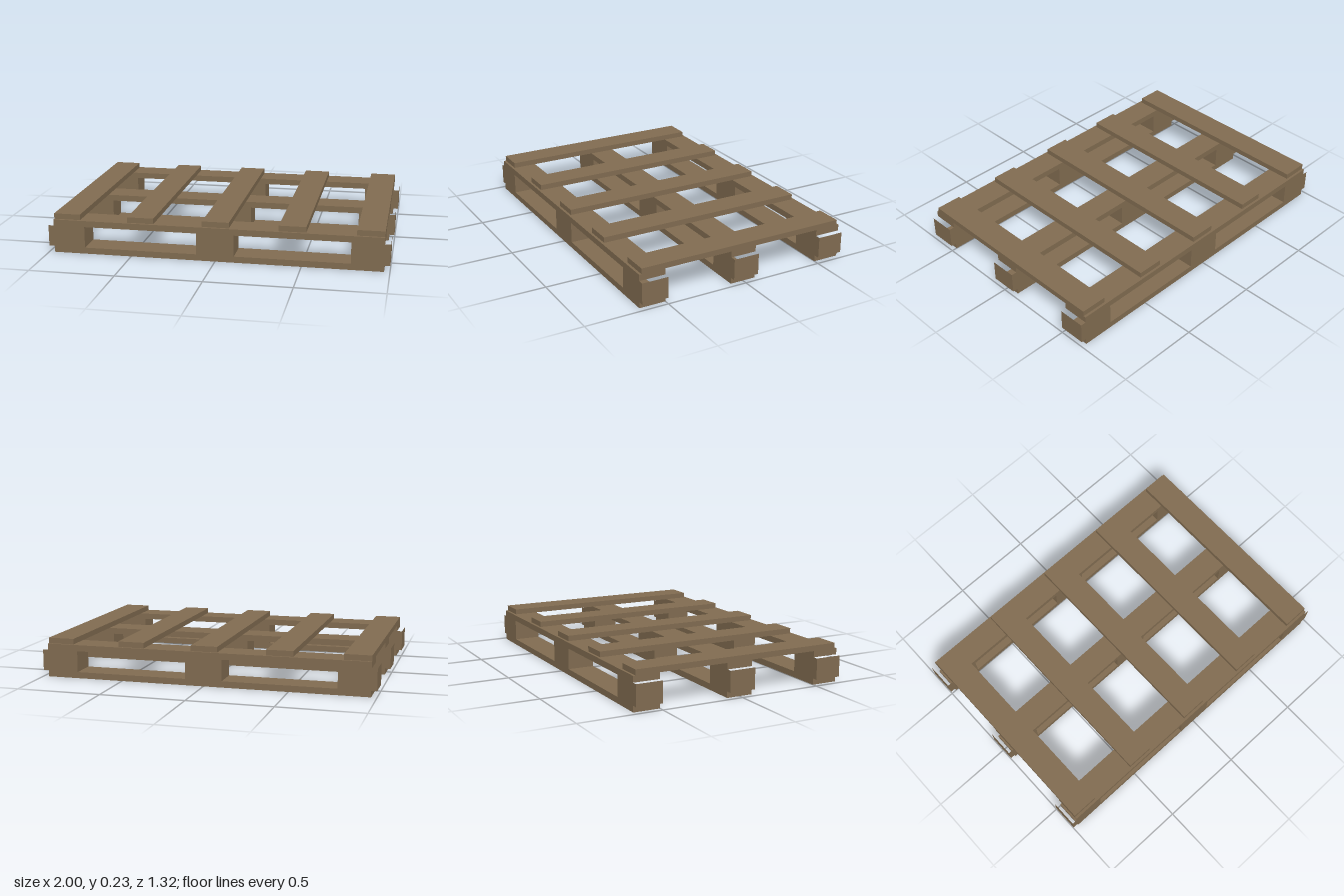
import * as THREE from 'three';

export function createModel() {
  const group = new THREE.Group();
  group.name = 'pallet';
  const wood = new THREE.MeshStandardMaterial({ color: 0x806b50 });
  wood.name = 'wood';

  function add(name, geometry, x, y, z) {
    const mesh = new THREE.Mesh(geometry, wood);
    mesh.name = name;
    mesh.position.set(x, y, z);
    group.add(mesh);
  }

  // Spacer block: four side walls only, open above and below
  function openBlock(w, h, d) {
    const geometry = new THREE.BoxGeometry(w, h, d);
    const index = Array.from(geometry.index.array);
    geometry.setIndex([...index.slice(0, 12), ...index.slice(24)]);
    geometry.clearGroups();
    return geometry;
  }

  const length = 1.934, width = 0.16, board = 0.037, blockHeight = 0.126;
  const runner = new THREE.BoxGeometry(length, board, width);
  const block = openBlock(0.22, blockHeight, width);

  // Three runners, each two boards separated by three blocks
  for (const z of [-0.58, 0, 0.58]) {
    add('bottomBoard', runner, 0, board / 2, z);
    add('upperBoard', runner, 0, 0.2 - board / 2, z);
    for (const x of [-0.89, 0, 0.89]) add('spacerBlock', block, x, 0.1, z);
  }

  // Five deck slats across the runners
  const slat = new THREE.BoxGeometry(0.158, 0.033, 1.29);
  for (const x of [-0.888, -0.445, 0, 0.445, 0.888]) add('deckSlat', slat, x, 0.2165, 0);

  return group;
}
